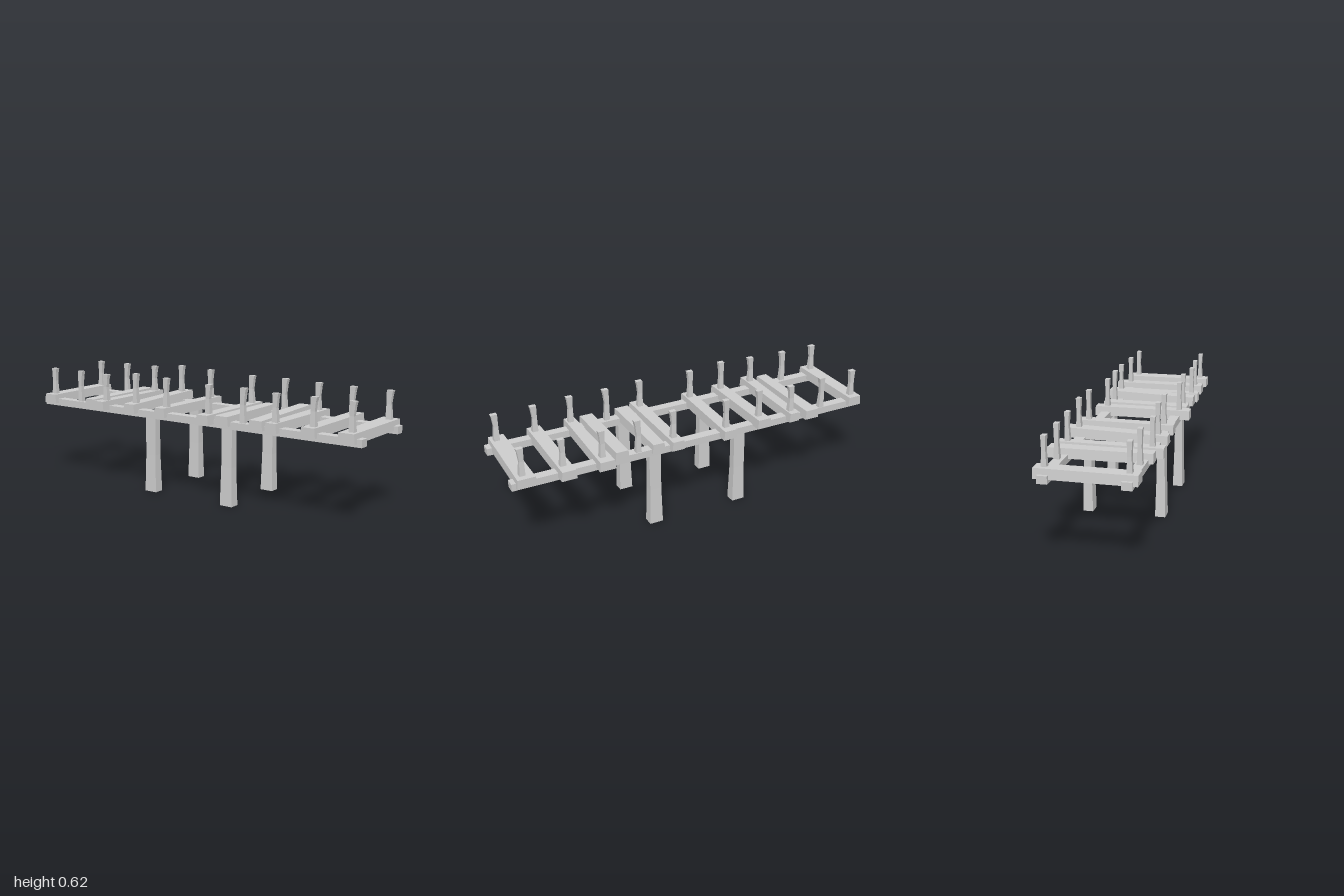
import * as THREE from 'three';

const wood = new THREE.MeshStandardMaterial({ color: 0xcccccc, flatShading: true });

// Adds a box whose vertices are moved by a rule; the rule gets coordinates from -0.5 to 0.5
function addShaped(group, name, segments, rule) {
  const geo = new THREE.BoxGeometry(1, 1, 1, 1, segments, 1);
  const pos = geo.attributes.position;
  const v = new THREE.Vector3();
  for (let i = 0; i < pos.count; i++) {
    v.fromBufferAttribute(pos, i);
    rule(v);
    pos.setXYZ(i, v.x, v.y, v.z);
  }
  geo.computeVertexNormals();
  const mesh = new THREE.Mesh(geo, wood);
  mesh.name = name;
  group.add(mesh);
}

// Upright timber from square sections [height, width x, depth z, shift z]
function addUpright(group, name, x, z, sections) {
  const last = sections.length - 1;
  addShaped(group, name, last, (v) => {
    const [y, w, d, shift] = sections[Math.round((v.y + 0.5) * last)];
    v.set(x + v.x * w, y, z + shift + v.z * d);
  });
}

// Planks: left end x, right end x, back/front z at the -x end, back/front z at the +x end, base y at each end
const planks = [
  [-0.24, 0.235, 0.885, 0.975, 0.88, 0.98, 0.412, 0.412],
  [-0.24, 0.265, 0.69, 0.77, 0.69, 0.77, 0.414, 0.414],
  [-0.25, 0.265, 0.50, 0.565, 0.49, 0.575, 0.414, 0.414],
  [-0.24, 0.235, 0.40, 0.48, 0.405, 0.48, 0.415, 0.430],
  [-0.24, 0.225, 0.195, 0.28, 0.205, 0.275, 0.414, 0.416],
  [-0.27, 0.245, 0.105, 0.18, 0.105, 0.175, 0.414, 0.414],
  [-0.24, 0.265, -0.19, -0.12, -0.185, -0.11, 0.414, 0.414],
  [-0.25, 0.265, -0.39, -0.315, -0.39, -0.31, 0.416, 0.430],
  [-0.27, 0.25, -0.585, -0.515, -0.575, -0.515, 0.414, 0.414],
  [-0.24, 0.265, -0.675, -0.605, -0.685, -0.605, 0.414, 0.416],
  [-0.24, 0.235, -0.985, -0.90, -0.985, -0.905, 0.412, 0.414],
];

// Posts: z, x of the pair, base y, top y, lean in z
const posts = [
  [0.94, -0.195, 0.19, 0.45, 0.605, 0.003],
  [0.738, -0.195, 0.195, 0.45, 0.605, 0.003],
  [0.538, -0.21, 0.205, 0.45, 0.605, 0.002],
  [0.343, -0.195, 0.195, 0.42, 0.61, 0.004],
  [0.143, -0.21, 0.185, 0.45, 0.61, 0.003],
  [-0.147, -0.185, 0.21, 0.45, 0.615, 0.002],
  [-0.345, -0.195, 0.205, 0.45, 0.623, 0.002],
  [-0.542, -0.21, 0.205, 0.45, 0.605, 0.003],
  [-0.743, -0.195, 0.195, 0.42, 0.605, 0.003],
  [-0.942, -0.195, 0.19, 0.45, 0.605, 0.002],
];

export function createModel() {
  const model = new THREE.Group();
  model.name = 'footbridge';

  // Two long rails
  for (const x of [-0.193, 0.187]) {
    addShaped(model, 'rail', 1, (v) => v.set(x + v.x * 0.05, 0.416 + v.y * 0.038, v.z * 2));
  }

  // Four flared legs
  for (const x of [-0.193, 0.188]) {
    for (const z of [0.254, -0.234]) {
      addUpright(model, 'leg', x, z, [
        [0, 0.053, 0.072, 0],
        [0.2, 0.043, 0.062, 0],
        [0.41, 0.037, 0.064, 0],
      ]);
    }
  }

  // Uneven cross planks, slightly narrower on top
  for (const [x0, x1, l0, l1, r0, r1, yl, yr] of planks) {
    addShaped(model, 'plank', 1, (v) => {
      const right = v.x > 0;
      const [back, front, base] = right ? [r0, r1, yr] : [l0, l1, yl];
      const inset = v.y > 0 ? 0.005 : 0;
      v.set(right ? x1 : x0, base + (v.y + 0.5) * 0.049, v.z > 0 ? front - inset : back + inset);
    });
  }

  // Paired posts with a pinched waist
  for (const [z, xl, xr, y0, y1, lean] of posts) {
    const h = y1 - y0;
    for (const x of [xl, xr]) {
      addUpright(model, 'post', x, z, [
        [y0, 0.028, 0.031, 0],
        [y0 + h * 0.55, 0.019, 0.023, -lean],
        [y1 - h * 0.15, 0.022, 0.028, 0],
        [y1, 0.024, 0.034, lean],
      ]);
    }
  }

  return model;
}
